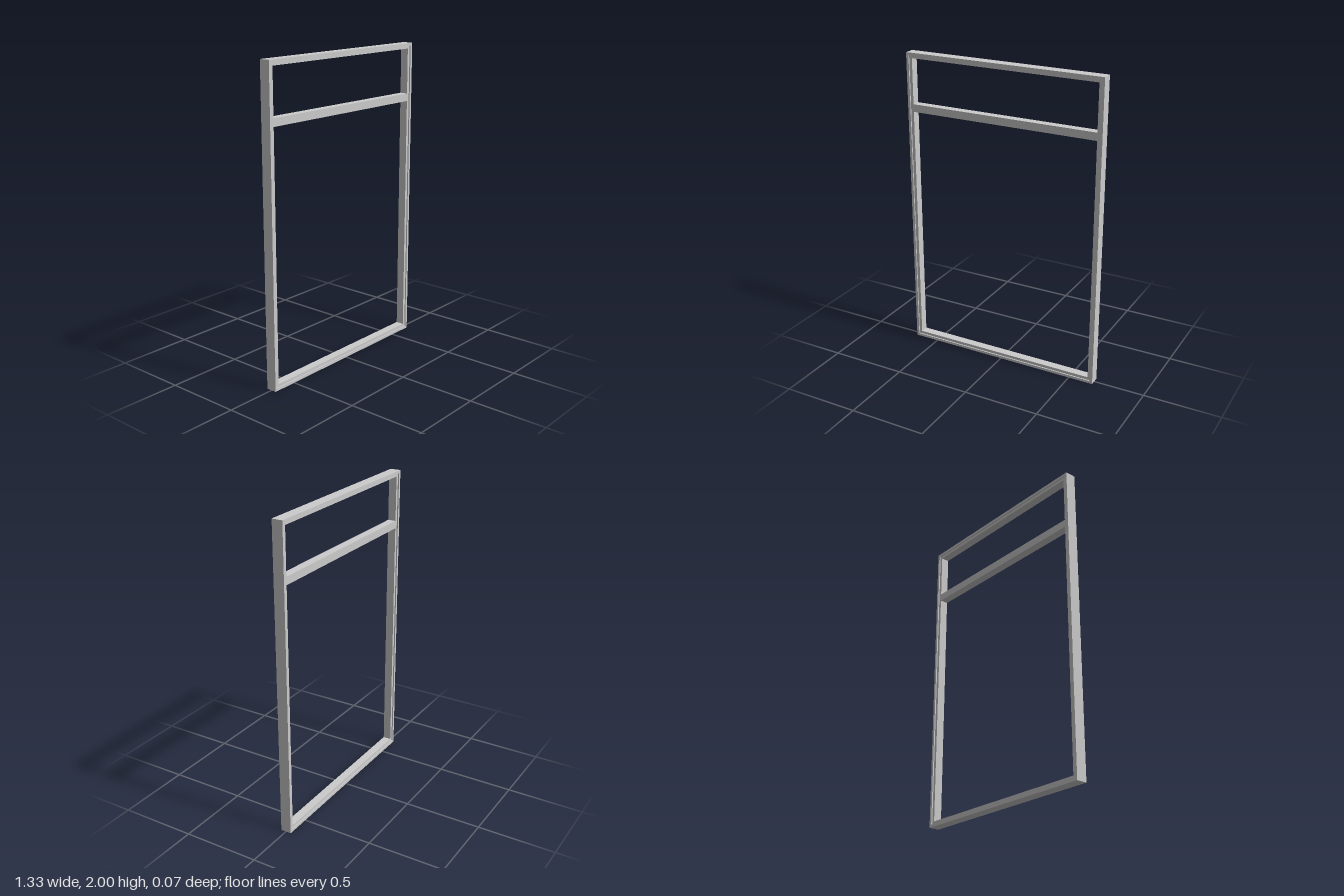
import * as THREE from 'three';

const W = 1.33, H = 2, DEPTH = 0.07;       // overall size
const RIM = 0.017, STOP = 0.036;           // rim width, and rim plus stop width
const STOP_DEPTH = 0.054;                  // stop is recessed on both faces

const material = new THREE.MeshStandardMaterial({ color: 0xcccccc, flatShading: true });

function rectangle(Type, inset) {
  const x = W / 2 - inset, y0 = inset, y1 = H - inset;
  return new Type([[-x, y0], [x, y0], [x, y1], [-x, y1]].map(([a, b]) => new THREE.Vector2(a, b)));
}

// Rectangular ring lying between two insets from the outer edge
function ring(name, outer, inner, depth) {
  const shape = rectangle(THREE.Shape, outer);
  shape.holes.push(rectangle(THREE.Path, inner));
  const geometry = new THREE.ExtrudeGeometry(shape, { depth, bevelEnabled: false });
  geometry.translate(0, 0, -depth / 2);
  const mesh = new THREE.Mesh(geometry, material);
  mesh.name = name;
  return mesh;
}

export function createModel() {
  const group = new THREE.Group();
  group.name = 'transomFrame';

  // Outer rim and the recessed stop inside it
  group.add(ring('outerFrame', 0, RIM, DEPTH));
  group.add(ring('innerStop', RIM, STOP, STOP_DEPTH));

  // Crossbar between the lower opening and the upper light
  const bar = new THREE.Mesh(new THREE.BoxGeometry(W - 2 * STOP, 0.05, STOP_DEPTH), material);
  bar.name = 'transomBar';
  bar.position.y = 1.645;
  group.add(bar);

  return group;
}
